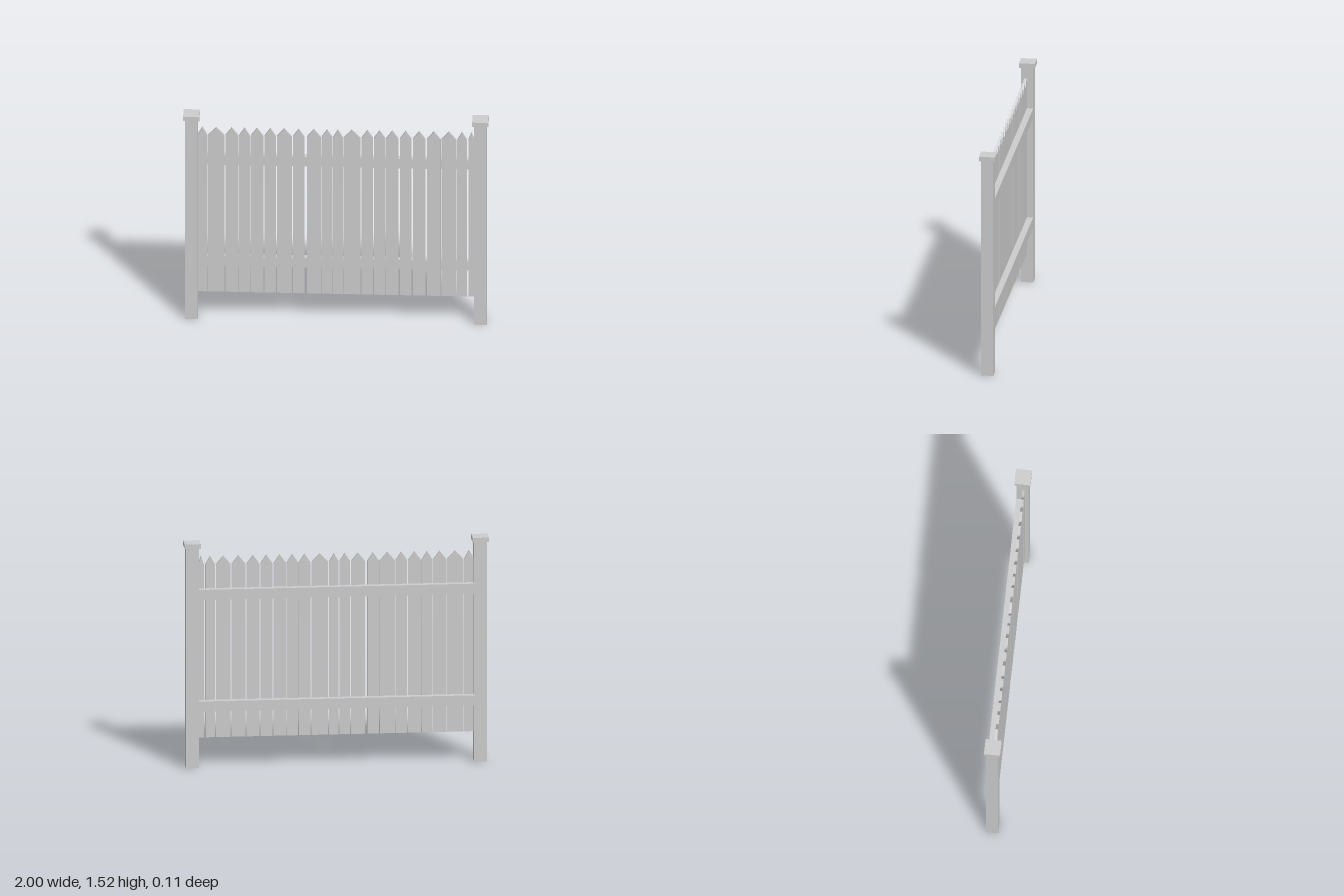
import * as THREE from 'three';

export function createModel() {
  const fence = new THREE.Group();
  fence.name = 'picketFence';
  const paint = new THREE.MeshStandardMaterial({ color: 0xcccccc });
  paint.name = 'grey paint';

  const add = (name, geometry, x, y, z) => {
    const mesh = new THREE.Mesh(geometry, paint);
    mesh.name = name;
    mesh.position.set(x, y, z);
    fence.add(mesh);
  };
  const box = (name, w, h, d, x, y, z) => add(name, new THREE.BoxGeometry(w, h, d), x, y, z);

  // Posts with square caps
  for (const [side, s] of [['left', 1], ['right', -1]]) {
    box(side + 'Post', 0.084, 1.487, 0.08, s * 0.947, 0.7435, 0);
    box(side + 'Cap', 0.106, 0.031, 0.106, s * 0.947, 1.5025, 0);
  }

  // Rails flush with the back of the posts
  box('upperRail', 1.82, 0.069, 0.041, 0, 1.171, -0.0205);
  box('lowerRail', 1.82, 0.069, 0.041, 0, 0.416, -0.0205);

  // Pointed pickets of uneven width: [start x, end x]
  const spans = [
    [-0.907, -0.843], [-0.837, -0.73], [-0.725, -0.639], [-0.634, -0.564],
    [-0.558, -0.475], [-0.468, -0.392], [-0.387, -0.289], [-0.282, -0.206],
    [-0.19, -0.099], [-0.093, -0.023], [-0.018, 0.045], [0.051, 0.161],
    [0.168, 0.244], [0.249, 0.324], [0.329, 0.41], [0.419, 0.496],
    [0.504, 0.587], [0.596, 0.687], [0.693, 0.789], [0.795, 0.859],
    [0.868, 0.908],
  ];
  const bottom = 0.197, shoulder = 1.364, tip = 1.421;
  spans.forEach(([x0, x1], i) => {
    const w = (x1 - x0) / 2;
    const outline = new THREE.Shape([
      new THREE.Vector2(-w, bottom), new THREE.Vector2(w, bottom),
      new THREE.Vector2(w, shoulder), new THREE.Vector2(0, tip),
      new THREE.Vector2(-w, shoulder),
    ]);
    const geometry = new THREE.ExtrudeGeometry(outline, { depth: 0.017, bevelEnabled: false });
    add('picket' + (i + 1), geometry, (x0 + x1) / 2, 0, 0);
  });

  return fence;
}
